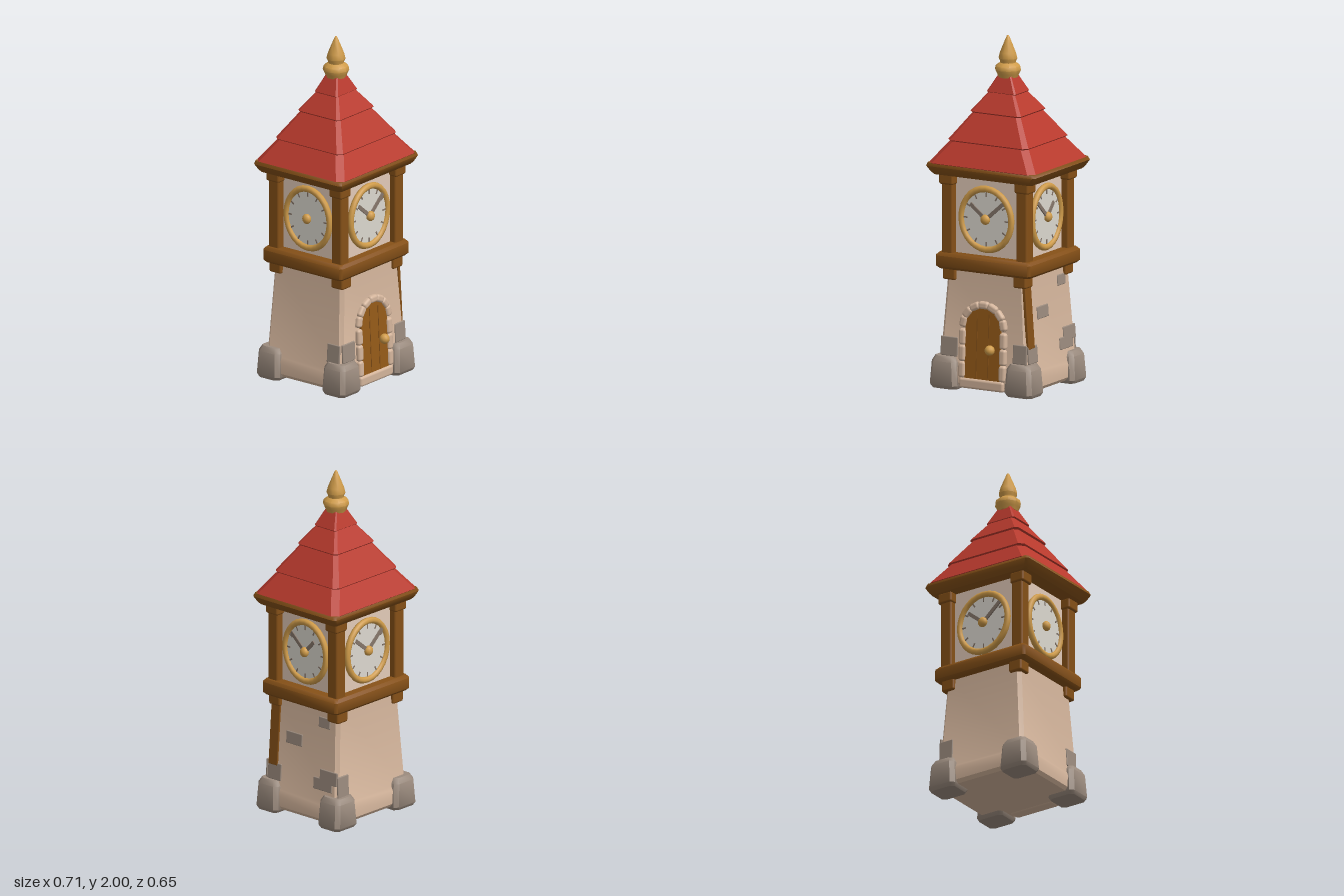
import * as THREE from 'three';
import { toCreasedNormals } from 'three/addons/utils/BufferGeometryUtils.js';
import { RoundedBoxGeometry } from 'three/addons/geometries/RoundedBoxGeometry.js';

const mat = (name, color) => {
  const m = new THREE.MeshStandardMaterial({ color });
  m.name = name;
  return m;
};

// Stacked rectangles [y, halfX, halfZ, chamfer] joined into a closed solid
function loft(sections, crease = 0.5) {
  const loops = sections.map(([y, x, z, c]) => [
    [x, z - c], [x - c, z], [c - x, z], [-x, z - c],
    [-x, c - z], [c - x, -z], [x - c, -z], [x, c - z],
  ].map(([px, pz]) => [px, y, pz]));
  const pos = [];
  const tri = (a, b, c) => pos.push(...a, ...b, ...c);
  for (let s = 0; s < loops.length - 1; s++) {
    for (let i = 0; i < 8; i++) {
      const j = (i + 1) % 8, lo = loops[s], hi = loops[s + 1];
      tri(lo[i], hi[j], lo[j]);
      tri(lo[i], hi[i], hi[j]);
    }
  }
  const first = loops[0], last = loops[loops.length - 1];
  for (let i = 1; i < 7; i++) {
    tri(first[0], first[i], first[i + 1]);
    tri(last[0], last[i + 1], last[i]);
  }
  const g = new THREE.BufferGeometry();
  g.setAttribute('position', new THREE.Float32BufferAttribute(pos, 3));
  return toCreasedNormals(g, crease);
}

export function createModel() {
  const model = new THREE.Group();
  model.name = 'clockTower';
  const plaster = mat('plaster', 0xd3b49b);
  const panel = mat('pale panel', 0xe2cab8);
  const stone = mat('grey stone', 0x9b8b7e);
  const wood = mat('wood', 0x855017);
  const doorWood = mat('door wood', 0x945a18);
  const red = mat('red tiles', 0xb93a2d);
  const gold = mat('gold', 0xd09c4a);
  const dial = mat('dial white', 0xdcd8cf);
  const handGrey = mat('hand grey', 0x85766a);

  const add = (parent, name, geo, material, x = 0, y = 0, z = 0) => {
    const m = new THREE.Mesh(geo, material);
    m.name = name;
    m.position.set(x, y, z);
    parent.add(m);
    return m;
  };
  const block = (w, h, d, r = 0.012) => new RoundedBoxGeometry(w, h, d, 2, r);
  // Group lying on one wall: local z points outwards, local y up the wall
  const wall = (name, turn, dist, lean = 0) => {
    const g = new THREE.Group();
    g.name = name;
    g.rotation.set(-lean, turn, 0, 'YXZ');
    g.position.set(Math.sin(turn) * dist, 0, Math.cos(turn) * dist);
    model.add(g);
    return g;
  };

  // Tapered lower body with a plinth
  add(model, 'lowerBody', loft([
    [0.02, 0.285, 0.27, 0.03], [0.04, 0.3, 0.285, 0.03], [0.115, 0.3, 0.285, 0.03],
    [0.14, 0.2895, 0.272, 0.02], [0.69, 0.2495, 0.246, 0.02],
  ]), plaster);

  // Upper clock room
  add(model, 'clockRoom', new THREE.BoxGeometry(0.472, 0.48, 0.444), panel, 0, 0.995, 0);

  // Parts repeated on the four corners
  for (const sx of [-1, 1]) for (const sz of [-1, 1]) {
    const foot = loft([
      [0, 0.08, 0.07, 0.02], [0.02, 0.09, 0.083, 0.022], [0.155, 0.08, 0.076, 0.022],
      [0.185, 0.064, 0.06, 0.02],
    ], 0.7);
    add(model, 'cornerStone', foot, stone, sx * 0.244, 0, sz * 0.235);
    add(model, 'bracket', block(0.085, 0.075, 0.085), wood, sx * 0.23, 0.655, sz * 0.222);
    add(model, 'cornerPost', block(0.074, 0.47, 0.074), wood, sx * 0.243, 0.995, sz * 0.226);
    add(model, 'capital', block(0.092, 0.065, 0.092), wood, sx * 0.246, 1.195, sz * 0.226);
  }

  // Beams below the clock room and below the roof
  add(model, 'lowerBeam', loft([
    [0.68, 0.295, 0.27, 0.015], [0.695, 0.31, 0.285, 0.015],
    [0.755, 0.31, 0.285, 0.015], [0.772, 0.295, 0.27, 0.015],
  ], 0.8), wood);
  add(model, 'eavesBeam', loft([
    [1.22, 0.322, 0.288, 0.015], [1.235, 0.335, 0.302, 0.015],
    [1.268, 0.355, 0.316, 0.015], [1.287, 0.347, 0.309, 0.015],
  ], 0.8), wood);

  // Overlapping roof tiers: [bottom y, halfX, halfZ, top y, halfX, halfZ]
  [
    [1.275, 0.347, 0.313, 1.43, 0.238, 0.218],
    [1.402, 0.262, 0.24, 1.59, 0.138, 0.126],
    [1.56, 0.165, 0.15, 1.69, 0.076, 0.07],
    [1.668, 0.095, 0.082, 1.775, 0.042, 0.042],
  ].forEach(([y0, x0, z0, y1, x1, z1]) => {
    add(model, 'roofTier', loft([
      [y0, x0 - 0.012, z0 - 0.012, x0 * 0.1], [y0 + 0.012, x0, z0, x0 * 0.1],
      [y1, x1, z1, x1 * 0.14],
    ]), red);
  });

  // Finial
  const profile = [[0, 1.755], [0.056, 1.76], [0.064, 1.78], [0.075, 1.803], [0.07, 1.825],
    [0.045, 1.843], [0.046, 1.852], [0.054, 1.868], [0.046, 1.9], [0.024, 1.955], [0.006, 1.997], [0, 2]];
  const finial = new THREE.LatheGeometry(profile.map(p => new THREE.Vector2(...p)), 10);
  add(model, 'finial', toCreasedNormals(finial, 0.8), gold);

  // Clocks on all four walls
  for (let i = 0; i < 4; i++) {
    const side = i % 2 === 1;
    const clock = wall('clock', i * Math.PI / 2, side ? 0.236 : 0.222);
    clock.position.y = 0.985;
    clock.scale.set(side ? 0.95 : 1, 1.07, 1);
    const disc = new THREE.CylinderGeometry(0.165, 0.165, 0.02, 28);
    add(clock, 'dial', disc.rotateX(Math.PI / 2), dial, 0, 0, 0.006);
    add(clock, 'dialRing', new THREE.TorusGeometry(0.163, 0.018, 8, 28), gold, 0, 0, 0.014);
    for (let k = 0; k < 12; k++) {
      const a = k * Math.PI / 6;
      const tick = add(clock, 'tick', new THREE.BoxGeometry(0.008, 0.024, 0.004), handGrey,
        Math.sin(a) * 0.133, Math.cos(a) * 0.133, 0.017);
      tick.rotation.z = -a;
    }
    // The right-hand wall of the back view carries a dial with a bare hub
    const hands = i === 3 ? [] : side ? [[0.88, 0.14], [-0.8, 0.1]] : [[-0.88, 0.15], [0.92, 0.125]];
    for (const [a, len] of hands) {
      const hand = new THREE.BoxGeometry(0.02, len, 0.008).translate(0, len / 2, 0);
      add(clock, 'hand', hand, handGrey, 0, 0, 0.022).rotation.z = a;
    }
    const hub = new THREE.SphereGeometry(0.029, 12, 8).scale(1, 0.94, 0.8);
    add(clock, 'hub', hub, gold, 0, 0, 0.026);
  }

  // Leaning wall surfaces of the lower body
  const front = wall('frontWall', 0, 0.279, 0.048);
  const back = wall('backWall', Math.PI, 0.279, 0.048);
  const left = wall('leftWall', Math.PI / 2, 0.2997, 0.073);
  const right = wall('rightWall', -Math.PI / 2, 0.2997, 0.073);

  // Arched door
  const arch = new THREE.Shape();
  arch.moveTo(-0.115, 0.06);
  arch.lineTo(0.115, 0.06);
  arch.lineTo(0.115, 0.365);
  arch.absarc(0, 0.365, 0.115, 0, Math.PI, false);
  arch.closePath();
  add(front, 'door', new THREE.ExtrudeGeometry(arch, { depth: 0.02, bevelEnabled: false, curveSegments: 12 }),
    doorWood, 0, 0, -0.008);
  for (const x of [-0.038, 0.038]) {
    add(front, 'doorSeam', new THREE.BoxGeometry(0.005, 0.38, 0.004), wood, x, 0.26, 0.012);
  }
  add(front, 'doorKnob', new THREE.SphereGeometry(0.029, 12, 8), gold, 0.06, 0.25, 0.034);
  add(model, 'doorStep', block(0.29, 0.06, 0.08, 0.015), plaster, 0, 0.045, 0.26);

  // Stones framing the door
  for (const s of [-1, 1]) for (let k = 0; k < 3; k++) {
    add(front, 'jambStone', block(0.044, 0.094, 0.05, 0.016), plaster, s * 0.132, 0.12 + k * 0.093, 0);
  }
  for (let k = 0; k < 7; k++) {
    const a = (k + 0.5) * Math.PI / 7;
    const v = add(front, 'archStone', block(0.044, 0.066, 0.05, 0.016), plaster,
      Math.cos(a) * 0.132, 0.365 + Math.sin(a) * 0.132, 0);
    v.rotation.z = a;
  }

  // Wooden strip beside the front corner
  add(left, 'cornerStrip', block(0.068, 0.38, 0.02, 0.005), wood, -0.218, 0.46, -0.002);

  // Exposed stone patches: [wall, x, y, width, height]
  [
    [front, -0.222, 0.24, 0.11, 0.11], [front, 0.238, 0.24, 0.09, 0.11],
    [left, -0.07, 0.457, 0.12, 0.072], [left, 0.15, 0.6, 0.085, 0.062],
    [left, 0.16, 0.24, 0.14, 0.07], [left, 0.2, 0.29, 0.13, 0.08],
    [left, -0.205, 0.235, 0.1, 0.1], [back, -0.235, 0.24, 0.09, 0.13],
    [right, 0.21, 0.235, 0.09, 0.11],
  ].forEach(([w, x, y, wide, high]) => {
    add(w, 'stonePatch', block(wide, high, 0.012, 0.005), stone, x, y, 0);
  });

  return model;
}
